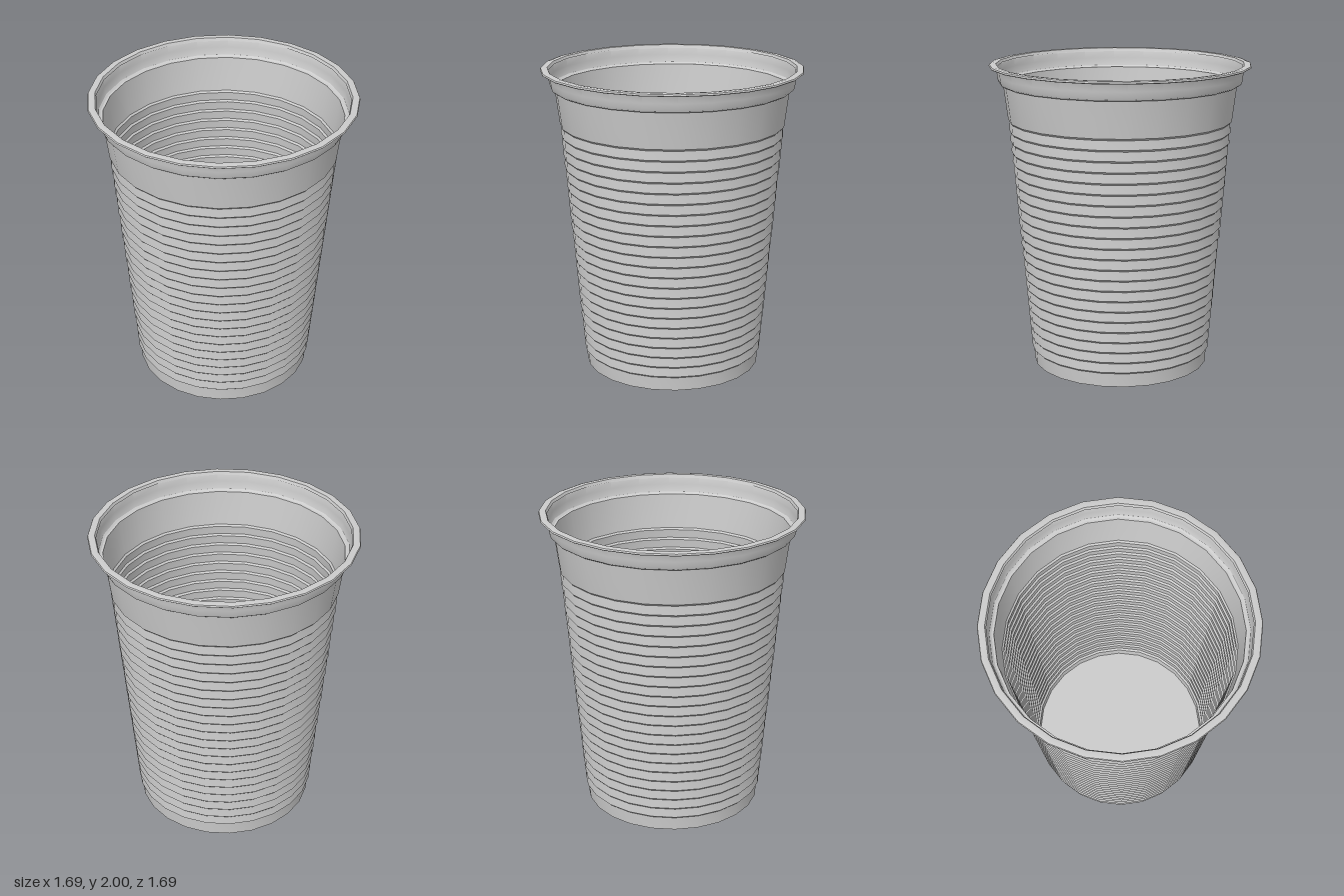
import * as THREE from 'three';
import { toCreasedNormals } from 'three/addons/utils/BufferGeometryUtils.js';

const SIDES = 24;
const material = new THREE.MeshStandardMaterial({ color: 0xcccccc, side: THREE.DoubleSide });

// Revolves [radius, height] pairs and keeps the ledges crisp
function turned(name, profile) {
  const points = profile.map(([r, y]) => new THREE.Vector2(r, y));
  const geometry = toCreasedNormals(new THREE.LatheGeometry(points, SIDES), 0.5);
  const mesh = new THREE.Mesh(geometry, material);
  mesh.name = name;
  return mesh;
}

export function createModel() {
  const cup = new THREE.Group();
  cup.name = 'cup';

  // Side wall: foot, stepped ribs that flare out at each ledge, smooth upper band
  const ribs = 22, ribBottom = 0.09, ribTop = 1.625, ledge = 0.012;
  const wall = [[0.58, 0], [0.585, ribBottom]];
  for (let i = 0; i <= ribs; i++) {
    const t = i / ribs;
    const y = THREE.MathUtils.lerp(ribBottom, ribTop, t);
    const r = THREE.MathUtils.lerp(0.598, 0.728, t);
    if (i > 0) wall.push([r - 0.011, y]);
    wall.push([r, y + ledge]);
  }
  wall.push([0.757, 1.87]);
  cup.add(turned('wall', wall));

  // Rounded stacking shoulder and rolled lip
  cup.add(turned('rim', [
    [0.757, 1.87], [0.771, 1.871], [0.783, 1.88], [0.79, 1.9], [0.794, 1.93],
    [0.799, 1.975], [0.806, 1.985], [0.822, 1.988], [0.84, 1.982],
    [0.846, 1.987], [0.842, 1.996], [0.825, 2], [0.8, 1.998], [0.792, 1.98],
  ]));

  // Underside with a narrow foot ring and a shallow central recess
  cup.add(turned('underside', [
    [0, 0.027], [0.365, 0.027], [0.365, 0.012], [0.566, 0.012], [0.57, 0], [0.58, 0],
  ]));

  // Flat inner floor
  cup.add(turned('floor', [[0.581, 0.035], [0, 0.035]]));

  return cup;
}
